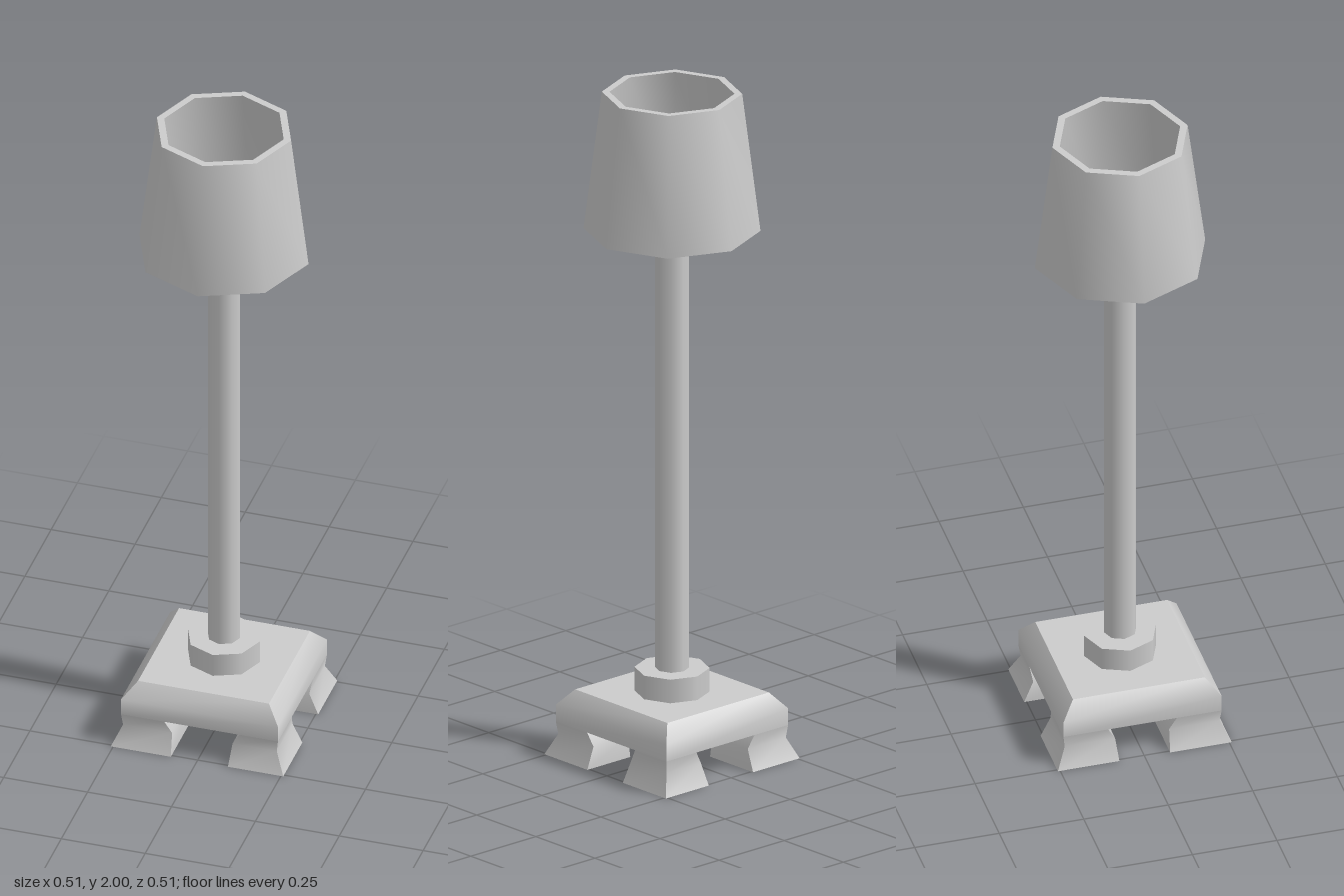
import * as THREE from 'three';
import { toCreasedNormals } from 'three/addons/utils/BufferGeometryUtils.js';

const material = new THREE.MeshStandardMaterial({ color: 0xcccccc });
const SIDES = 8;

function add(parent, name, geometry, y = 0) {
  const mesh = new THREE.Mesh(geometry, material);
  mesh.name = name;
  mesh.position.y = y;
  parent.add(mesh);
  return mesh;
}

// Upright octagonal cylinder between two heights
function post(parent, name, radius, y0, y1) {
  return add(parent, name, new THREE.CylinderGeometry(radius, radius, y1 - y0, SIDES), (y0 + y1) / 2);
}

// Solid through rectangular sections [y, x0, x1, z0, z1], listed bottom to top
function rectLoft(sections) {
  const positions = [];
  const index = [];
  for (const [y, x0, x1, z0, z1] of sections) {
    positions.push(x0, y, z1, x1, y, z1, x1, y, z0, x0, y, z0);
  }
  for (let i = 0; i < sections.length - 1; i++) {
    for (let j = 0; j < 4; j++) {
      const a = i * 4 + j;
      const b = i * 4 + (j + 1) % 4;
      index.push(a, b, b + 4, a, b + 4, a + 4);
    }
  }
  const t = (sections.length - 1) * 4;
  index.push(0, 2, 1, 0, 3, 2, t, t + 1, t + 2, t, t + 2, t + 3);
  const geometry = new THREE.BufferGeometry();
  geometry.setAttribute('position', new THREE.Float32BufferAttribute(positions, 3));
  geometry.setIndex(index);
  return toCreasedNormals(geometry, 0.8);
}

export function createModel() {
  const lamp = new THREE.Group();
  lamp.name = 'floorLamp';

  // Square base with a bevelled top edge
  const square = (y, h) => [y, -h, h, -h, h];
  add(lamp, 'basePlate', rectLoft([square(0.1, 0.234), square(0.15, 0.234), square(0.197, 0.195)]));

  // Four flared corner feet: [y, inner offset, outer half-width]
  const footProfile = [[0, 0, 0.257], [0.062, 0.005, 0.229], [0.101, 0.027, 0.234]];
  const span = (sign, gap, inset, outer) => (sign > 0 ? [gap + inset, outer] : [-outer, -gap - inset]);
  for (const sx of [-1, 1]) {
    for (const sz of [-1, 1]) {
      const gapX = sx > 0 ? 0.092 : 0.078;
      const sections = footProfile.map(([y, inset, outer]) =>
        [y, ...span(sx, gapX, inset, outer), ...span(sz, 0.075, inset, outer)]);
      add(lamp, 'foot', rectLoft(sections));
    }
  }

  // Collar, pole and bulb holder
  post(lamp, 'baseCollar', 0.107, 0.195, 0.268);
  post(lamp, 'pole', 0.048, 0.2, 1.56);
  post(lamp, 'bulbHolder', 0.067, 1.54, 1.63);
  post(lamp, 'bulbNeck', 0.045, 1.62, 1.69);
  add(lamp, 'bulb', new THREE.SphereGeometry(0.07, SIDES, 6), 1.73);

  // Four spokes rising outward from the holder to the shade
  for (let i = 0; i < 4; i++) {
    const arm = new THREE.Group();
    arm.name = 'shadeSpoke';
    arm.rotation.y = Math.PI / 8 + i * Math.PI / 2;
    const bar = add(arm, 'spokeBar', new THREE.BoxGeometry(0.17, 0.018, 0.032), 1.62);
    bar.position.x = 0.13;
    bar.rotation.z = 0.32;
    lamp.add(arm);
  }

  // Tapered octagonal shade with wall thickness
  const wall = [[0.252, 1.588], [0.2, 2], [0.178, 2], [0.229, 1.588], [0.252, 1.588]]
    .map(([r, y]) => new THREE.Vector2(r, y));
  add(lamp, 'shade', toCreasedNormals(new THREE.LatheGeometry(wall, SIDES), 0.9));

  return lamp;
}
